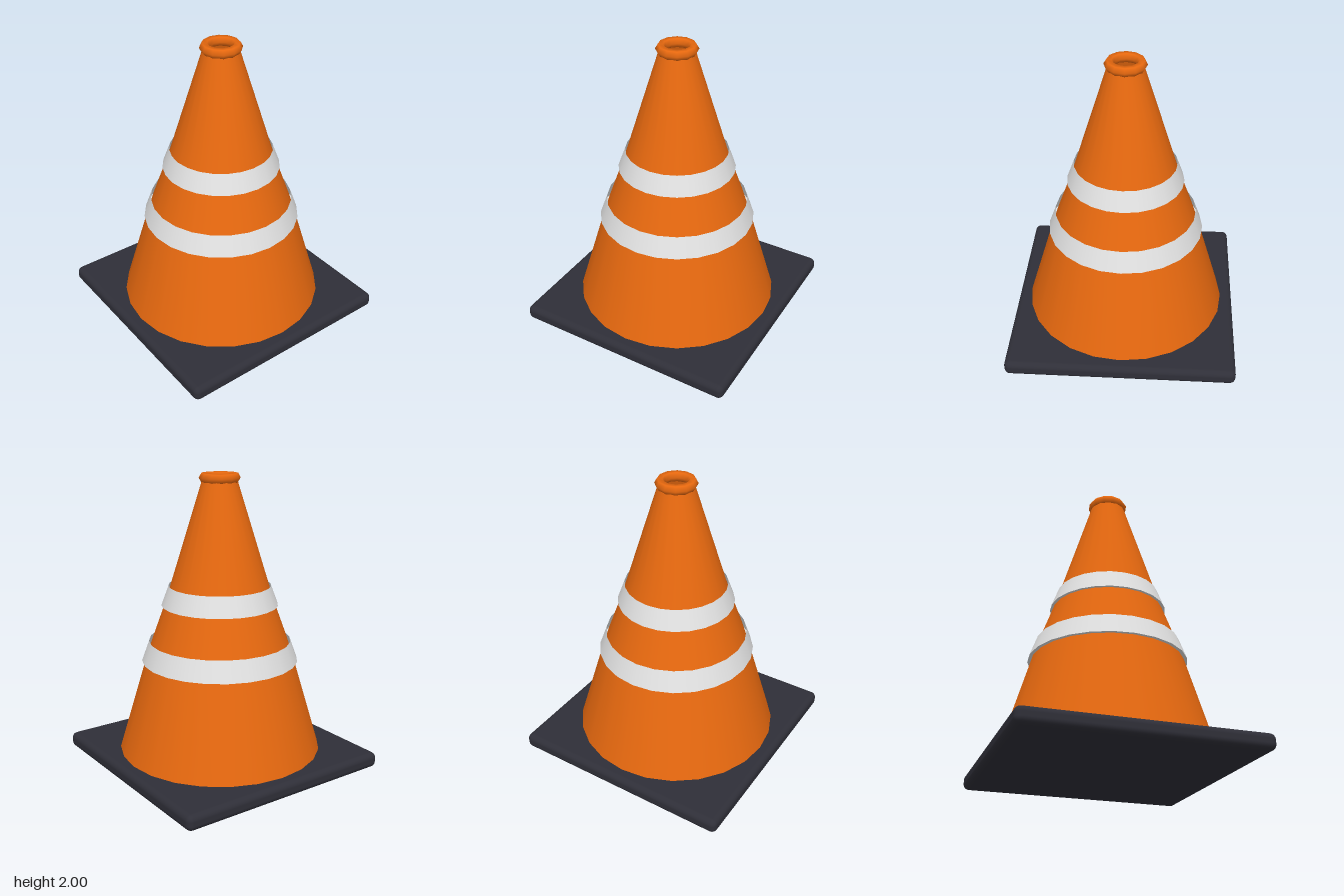
import * as THREE from 'three';
import { RoundedBoxGeometry } from 'three/addons/geometries/RoundedBoxGeometry.js';

const SIDES = 24;

export function createModel() {
  const model = new THREE.Group();
  model.name = 'trafficCone';

  const orange = new THREE.MeshStandardMaterial({ name: 'orange plastic', color: 0xe8690f, side: THREE.DoubleSide });
  const white = new THREE.MeshStandardMaterial({ name: 'white band', color: 0xe2e2e2, side: THREE.DoubleSide });
  const rubber = new THREE.MeshStandardMaterial({ name: 'dark rubber', color: 0x2f2f38 });

  const add = (parent, name, geometry, material, y = 0) => {
    const mesh = new THREE.Mesh(geometry, material);
    mesh.name = name;
    mesh.position.y = y;
    parent.add(mesh);
    return mesh;
  };

  // Square rubber foot
  add(model, 'base', new RoundedBoxGeometry(1.566, 0.106, 1.566, 3, 0.04), rubber, 0.053);

  // Hollow tapered body, open at the top
  const profile = [[0.7, 0.1], [0.51, 0.74], [0.466, 0.875], [0.377, 1.12], [0.334, 1.255], [0.115, 1.96]]
    .map(([r, y]) => new THREE.Vector2(r, y));
  add(model, 'coneBody', new THREE.LatheGeometry(profile, SIDES), orange);

  // Bands standing slightly proud of the body, flared at the lower edge
  const bands = [
    { name: 'lowerBand', y0: 0.735, y1: 0.875, r0: 0.535, r1: 0.484, inner: 0.505 },
    { name: 'upperBand', y0: 1.122, y1: 1.256, r0: 0.396, r1: 0.346, inner: 0.37 },
  ];
  for (const { name, y0, y1, r0, r1, inner } of bands) {
    const band = new THREE.Group();
    band.name = name;
    model.add(band);
    add(band, name + 'Face', new THREE.CylinderGeometry(r1, r0, y1 - y0, SIDES, 1, true), white, (y0 + y1) / 2);
    // Underside lip
    const lip = new THREE.RingGeometry(inner, r0, SIDES).rotateX(Math.PI / 2);
    add(band, name + 'Lip', lip, white, y0);
  }

  // Rolled rim around the top opening
  add(model, 'topRim', new THREE.TorusGeometry(0.104, 0.034, 6, 12).rotateX(Math.PI / 2), orange, 1.9706);

  return model;
}
